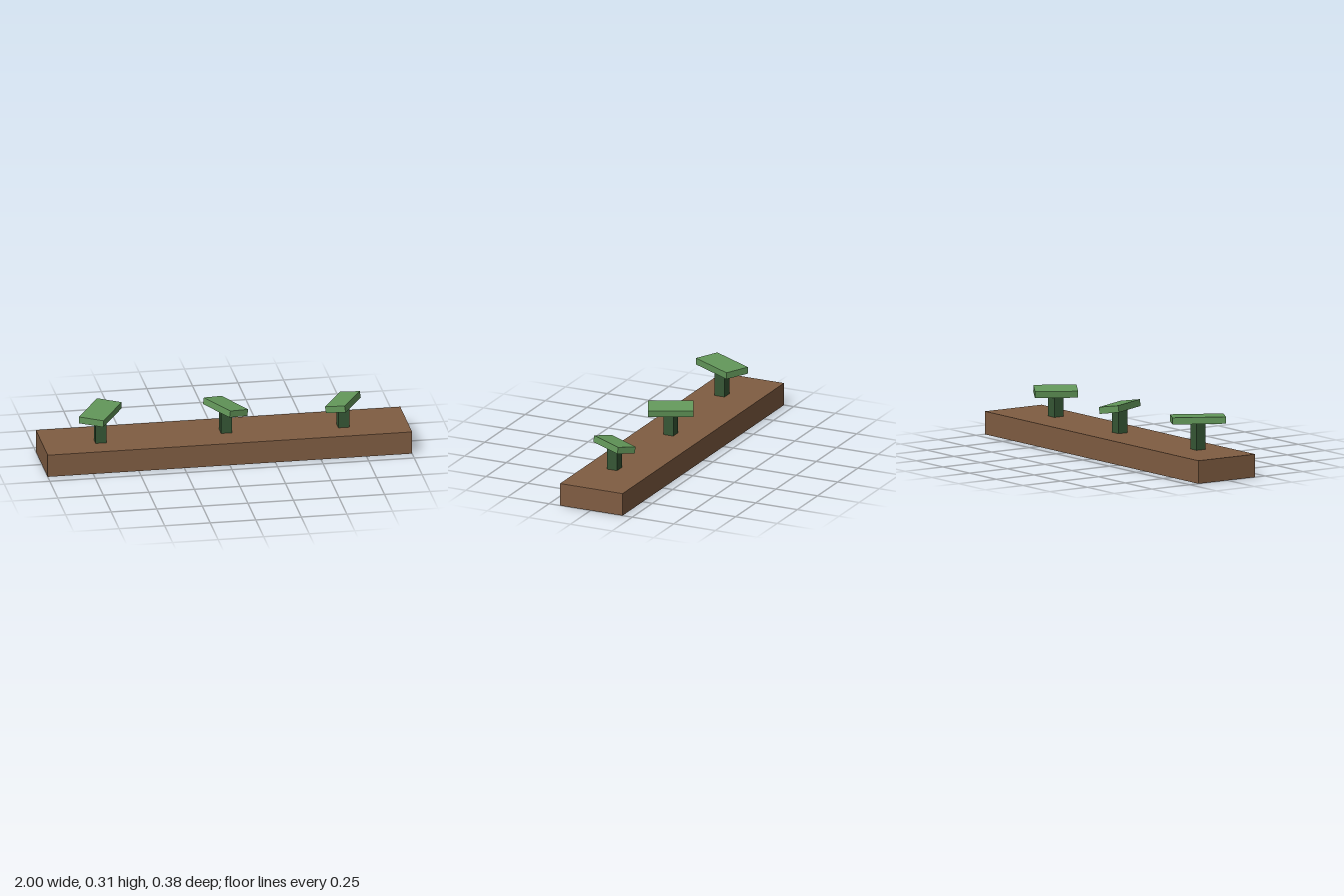
import * as THREE from 'three';

const paint = (name, color) => {
  const m = new THREE.MeshStandardMaterial({ color, side: THREE.DoubleSide });
  m.name = name;
  return m;
};

// Box without its bottom face, centred on the origin
function openBox(w, h, d) {
  const geo = new THREE.BoxGeometry(w, h, d);
  const index = Array.from(geo.index.array);
  index.splice(18, 6);
  geo.setIndex(index);
  geo.clearGroups();
  return geo;
}

export function createModel() {
  const soil = paint('soilBrown', 0x805d42);
  const leaf = paint('leafGreen', 0x63985a);
  const stalk = paint('stalkGreen', 0x365735);
  const model = new THREE.Group();
  model.name = 'planter';

  const add = (parent, name, geo, mat, x, y, z) => {
    const mesh = new THREE.Mesh(geo, mat);
    mesh.name = name;
    mesh.position.set(x, y, z);
    parent.add(mesh);
    return mesh;
  };

  // Hollow bed
  const bedTop = 0.126;
  add(model, 'bed', openBox(2, bedTop, 0.376), soil, 0, bedTop / 2, -0.004);

  // Sprouts: a square stem under a turned, tilted leaf
  const thick = 0.037;
  const sprouts = [
    { x: -0.685, z: 0.028, y: 0.291, w: 0.141, l: 0.291, yaw: -29.5, roll: -1.7 },
    { x: 0.008, z: 0.0, y: 0.268, w: 0.12, l: 0.245, yaw: 26, roll: -8.5 },
    { x: 0.647, z: 0.028, y: 0.2625, w: 0.115, l: 0.234, yaw: -30.5, roll: 9.5 },
  ];
  const rad = THREE.MathUtils.degToRad;
  for (const s of sprouts) {
    const sprout = new THREE.Group();
    sprout.name = 'sprout';
    model.add(sprout);
    const h = s.y - thick / 2 - bedTop;
    add(sprout, 'stem', openBox(0.06, h, 0.06), stalk, s.x, bedTop + h / 2, s.z);
    const top = add(sprout, 'leaf', openBox(s.w, thick, s.l), leaf, s.x, s.y, s.z);
    top.rotation.set(0, rad(s.yaw), rad(s.roll), 'YXZ');
  }
  return model;
}
